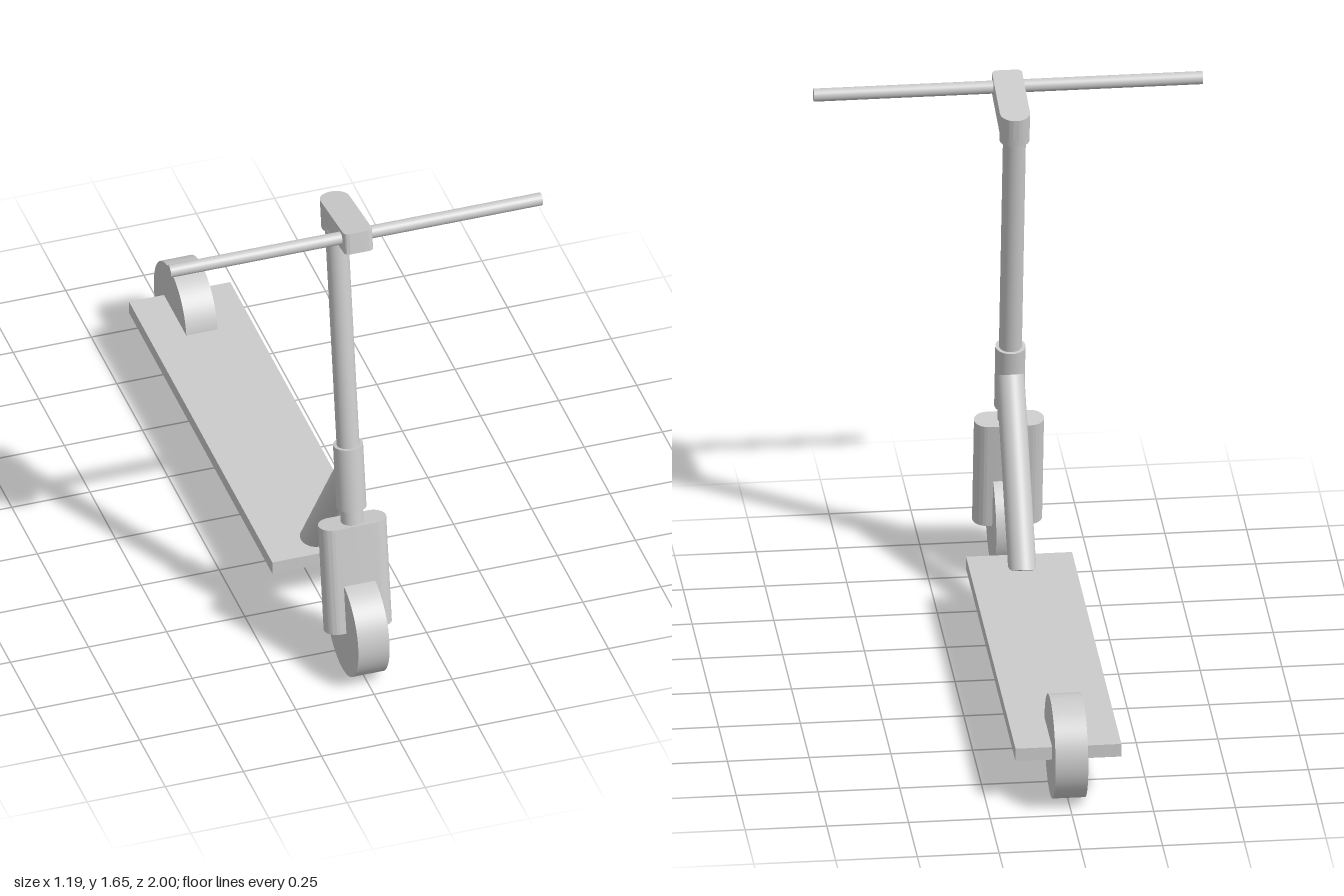
import * as THREE from 'three';
import { toCreasedNormals } from 'three/addons/utils/BufferGeometryUtils.js';

const material = new THREE.MeshStandardMaterial({ color: 0xcccccc });

function add(parent, name, geometry, x = 0, y = 0, z = 0) {
  const mesh = new THREE.Mesh(geometry, material);
  mesh.name = name;
  mesh.position.set(x, y, z);
  parent.add(mesh);
  return mesh;
}

// Upright tube between two heights on the parent's y axis
function tube(parent, name, radius, y0, y1) {
  return add(parent, name, new THREE.CylinderGeometry(radius, radius, y1 - y0, 40), 0, (y0 + y1) / 2, 0);
}

// Cylinder lying along x
function crossCylinder(radius, length, segments) {
  return new THREE.CylinderGeometry(radius, radius, length, segments).rotateZ(Math.PI / 2);
}

// Upright prism from an outline in x and -z
function prism(shape, height) {
  const geometry = new THREE.ExtrudeGeometry(shape, { depth: height, bevelEnabled: false, curveSegments: 20 });
  return toCreasedNormals(geometry.rotateX(-Math.PI / 2), 0.6);
}

export function createModel() {
  const model = new THREE.Group();
  model.name = 'kickScooter';

  // Deck and wheels
  add(model, 'deck', new THREE.BoxGeometry(0.324, 0.042, 1.4), 0, 0.163, -0.2);
  for (const [name, z] of [['frontWheel', 0.84], ['rearWheel', -0.84]]) {
    add(model, name, crossCylinder(0.16, 0.1, 64), 0, 0.16, z);
  }

  // Diagonal tube from the deck to the head tube
  const foot = new THREE.Vector3(0, 0.168, 0.404);
  const head = new THREE.Vector3(0, 0.682, 0.759);
  const along = head.clone().sub(foot);
  const brace = add(model, 'diagonalTube', new THREE.CylinderGeometry(0.043, 0.043, along.length(), 40));
  brace.position.copy(foot).add(head).multiplyScalar(0.5);
  brace.quaternion.setFromUnitVectors(new THREE.Vector3(0, 1, 0), along.normalize());

  // Steering assembly, raked back about the front axle
  const steering = new THREE.Group();
  steering.name = 'steering';
  steering.position.set(0, 0.152, 0.84);
  steering.rotation.x = THREE.MathUtils.degToRad(-8.7);
  model.add(steering);

  // Fork block with round sides
  const r = 0.043, cx = 0.107 - r;
  const forkShape = new THREE.Shape();
  forkShape.absarc(cx, 0, r, -Math.PI / 2, Math.PI / 2);
  forkShape.absarc(-cx, 0, r, Math.PI / 2, Math.PI * 1.5);
  add(steering, 'fork', prism(forkShape, 0.36));

  tube(steering, 'stem', 0.035, 0.34, 1.4);
  tube(steering, 'headTube', 0.046, 0.41, 0.625);
  tube(steering, 'neckCollar', 0.046, 1.378, 1.41);

  // Neck arm: round at the stem, softened corners at the front
  const w = 0.046, front = -0.238, c = 0.016;
  const arm = new THREE.Shape();
  arm.absarc(0, 0, w, 0, Math.PI);
  arm.lineTo(-w, front + c);
  arm.absarc(-w + c, front + c, c, Math.PI, Math.PI * 1.5);
  arm.absarc(w - c, front + c, c, Math.PI * 1.5, Math.PI * 2);
  add(steering, 'neckArm', prism(arm, 0.07), 0, 1.404, 0);

  add(steering, 'handlebar', crossCylinder(0.02, 1.19, 32), 0, 1.443, 0.194);

  return model;
}
